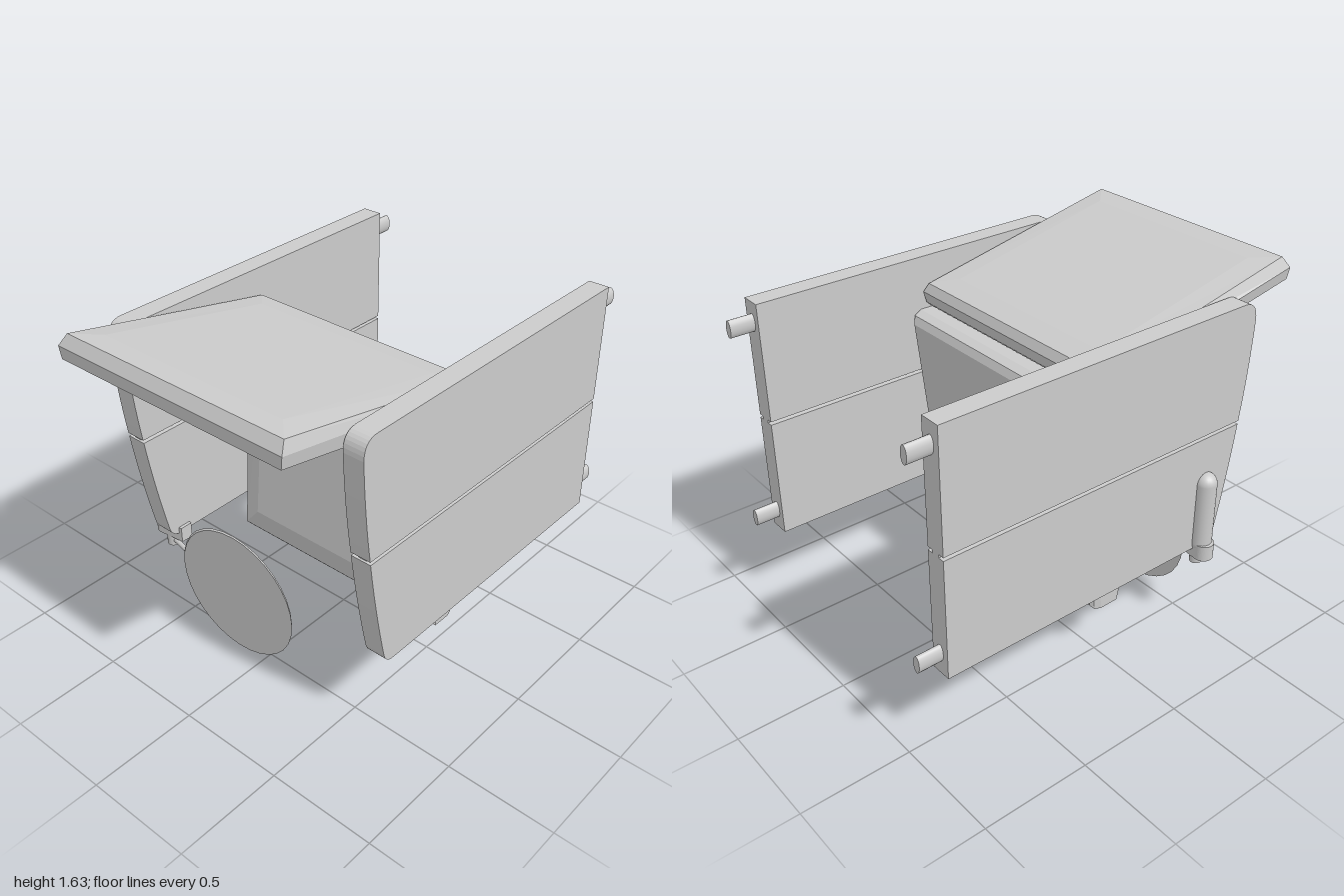
import * as THREE from 'three';

const mat = new THREE.MeshStandardMaterial({ color: 0xcccccc });
const flatMat = new THREE.MeshStandardMaterial({ color: 0xcccccc, flatShading: true });

function add(parent, name, geometry, material = mat, pos = [0, 0, 0]) {
  const mesh = new THREE.Mesh(geometry, material);
  mesh.name = name;
  mesh.position.set(...pos);
  parent.add(mesh);
  return mesh;
}

// Closed solid lofted through loops of equal point count
function loft(loops) {
  const out = [];
  const tri = (a, b, c) => out.push(...a, ...b, ...c);
  const n = loops[0].length, last = loops[loops.length - 1];
  for (let k = 0; k < loops.length - 1; k++) {
    const p = loops[k], q = loops[k + 1];
    for (let i = 0; i < n; i++) {
      const j = (i + 1) % n;
      tri(p[i], q[i], q[j]);
      tri(p[i], q[j], p[j]);
    }
  }
  for (let i = 1; i < n - 1; i++) {
    tri(loops[0][0], loops[0][i], loops[0][i + 1]);
    tri(last[0], last[i + 1], last[i]);
  }
  const g = new THREE.BufferGeometry();
  g.setAttribute('position', new THREE.Float32BufferAttribute(out, 3));
  g.computeVertexNormals();
  return g;
}

// Rectangular loop: x range, then (z, y) of its two edges
const rect = ([x0, x1, za, ya, zb, yb]) => [[x0, ya, za], [x1, ya, za], [x1, yb, zb], [x0, yb, zb]];

// Extrude a (z, y) outline across x, starting at x0
function board(shape, x0, width) {
  return new THREE.ExtrudeGeometry(shape, { depth: width, bevelEnabled: false, curveSegments: 8 })
    .rotateY(-Math.PI / 2).translate(x0 + width, 0, 0);
}

function sidePanel(name, x0) {
  const g = new THREE.Group();
  g.name = name;
  const w = 0.095, back = -0.89;

  // Upper board with rounded front corner
  const upper = new THREE.Shape();
  upper.moveTo(back, 1.0);
  upper.lineTo(0.662, 1.0);
  upper.quadraticCurveTo(0.695, 1.22, 0.705, 1.46);
  upper.quadraticCurveTo(0.705, 1.545, 0.63, 1.545);
  upper.lineTo(back, 1.545);
  add(g, 'upperBoard', board(upper, x0, w));

  // Lower board, tapering toward the bottom
  const lower = new THREE.Shape();
  lower.moveTo(back, 0.43);
  lower.lineTo(0.51, 0.43);
  lower.quadraticCurveTo(0.555, 0.43, 0.568, 0.48);
  lower.quadraticCurveTo(0.625, 0.73, 0.66, 0.985);
  lower.lineTo(back, 0.985);
  add(g, 'lowerBoard', board(lower, x0, w));

  // Spine joining the boards inside the groove
  add(g, 'spine', new THREE.BoxGeometry(0.04, 0.03, 1.54), mat, [x0 + w / 2, 0.9925, -0.12]);

  // Flattened mounting pegs at the back
  for (const y of [0.53, 1.45]) {
    const peg = add(g, 'peg', new THREE.CylinderGeometry(0.04, 0.04, 0.13, 16).rotateX(Math.PI / 2), mat,
      [x0 + w / 2, y, -0.935]);
    peg.scale.x = 0.5;
  }
  return g;
}

export function createModel() {
  const model = new THREE.Group();
  model.name = 'seatUnit';

  model.add(sidePanel('rightPanel', -0.64), sidePanel('leftPanel', 0.61));

  // Tilted top cushion, underside to crown
  add(model, 'topCushion', loft([
    [-0.53, 0.595, -0.05, 1.31, 0.975, 1.522],
    [-0.545, 0.6, -0.07, 1.33, 0.998, 1.53],
    [-0.555, 0.607, -0.08, 1.38, 1.0, 1.585],
    [-0.53, 0.59, -0.06, 1.42, 0.97, 1.633],
    [-0.43, 0.49, 0.04, 1.447, 0.87, 1.622],
  ].map(rect)), flatMat);

  // Upright cushion, back to front
  add(model, 'uprightCushion', loft([
    [-0.51, 0.58, -0.155, 1.25, -0.045, 0.275],
    [-0.525, 0.595, -0.14, 1.285, -0.03, 0.258],
    [-0.535, 0.605, -0.1, 1.3, 0, 0.255],
    [-0.535, 0.605, 0, 1.3, 0.09, 0.257],
    [-0.52, 0.585, 0.04, 1.285, 0.115, 0.285],
    [-0.42, 0.49, 0.065, 1.16, 0.137, 0.4],
  ].map(rect)), flatMat);

  // Thin oval tray with a slanted rim
  const oval = (cx, rx, ry, z) => Array.from({ length: 32 }, (_, i) => {
    const a = -i / 32 * Math.PI * 2;
    return [cx + rx * Math.cos(a), 0.31 + ry * Math.sin(a), z];
  });
  add(model, 'tray', loft([oval(-0.168, 0.337, 0.298, 0.532), oval(-0.152, 0.337, 0.304, 0.548)]), flatMat);

  // Swivel arm on the right panel
  const arm = new THREE.Group();
  arm.name = 'swivelArm';
  model.add(arm);
  add(arm, 'post', new THREE.CapsuleGeometry(0.05, 0.3, 8, 20), mat, [-0.645, 0.61, 0.485]);

  // Collar wrapping under the panel
  const collar = new THREE.Shape();
  collar.moveTo(-0.665, -0.53);
  collar.lineTo(-0.53, -0.515);
  collar.lineTo(-0.53, -0.455);
  collar.lineTo(-0.665, -0.44);
  collar.absarc(-0.665, -0.485, 0.045, Math.PI / 2, Math.PI * 1.5, false);
  add(arm, 'collar', new THREE.ExtrudeGeometry(collar, { depth: 0.075, bevelEnabled: false })
    .rotateX(-Math.PI / 2), mat, [0, 0.385, 0]);
  add(arm, 'pivot', new THREE.CylinderGeometry(0.028, 0.028, 0.08, 16), mat, [-0.617, 0.37, 0.495]);

  // Rod from pivot to tray
  const rod = new THREE.LineCurve3(new THREE.Vector3(-0.62, 0.358, 0.495), new THREE.Vector3(-0.45, 0.355, 0.53));
  add(arm, 'rod', new THREE.TubeGeometry(rod, 1, 0.012, 10, false));

  return model;
}
